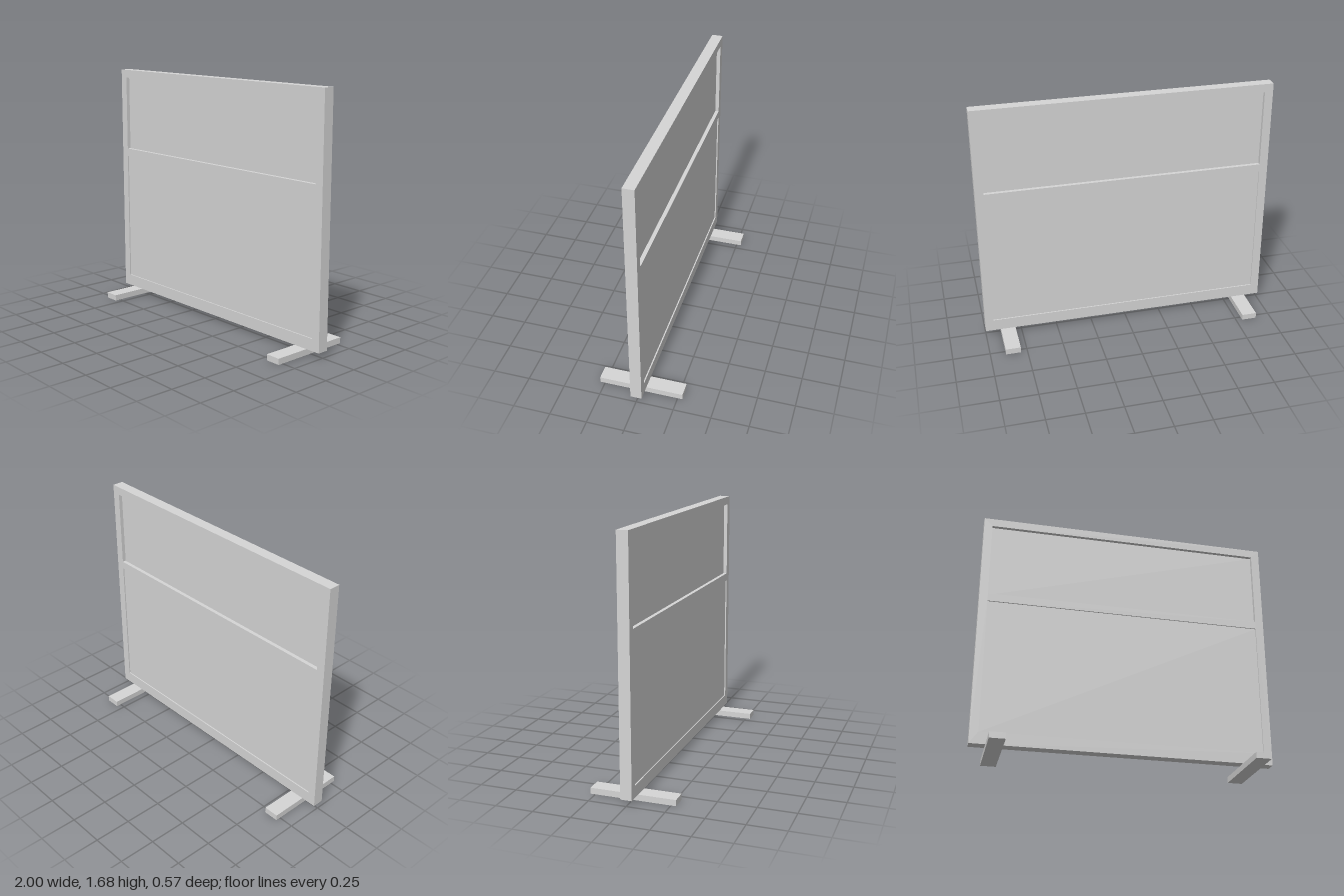
import * as THREE from 'three';

export function createModel() {
  const model = new THREE.Group();
  const lightGrey = new THREE.MeshStandardMaterial({ color: 0xd5d5d5 });
  lightGrey.name = 'lightGrey';

  const add = (name, geometry, x, y, z) => {
    const mesh = new THREE.Mesh(geometry, lightGrey);
    mesh.name = name;
    mesh.position.set(x, y, z);
    model.add(mesh);
  };

  const rectangle = (path, x, y0, y1) =>
    path.moveTo(-x, y0).lineTo(x, y0).lineTo(x, y1).lineTo(-x, y1).closePath();

  // Openings in the frame and the thickness of the panel filling each
  const openingX = 0.943;
  const panels = [
    { name: 'upperPanel', y0: 1.095, y1: 1.62, thickness: 0.024 },
    { name: 'lowerPanel', y0: 0.12, y1: 1.04, thickness: 0.058 },
  ];

  // Outer frame with middle rail
  const depth = 0.075;
  const outline = rectangle(new THREE.Shape(), 1, 0.04, 1.676);
  for (const p of panels) outline.holes.push(rectangle(new THREE.Path(), openingX, p.y0, p.y1));
  add('frame', new THREE.ExtrudeGeometry(outline, { depth, bevelEnabled: false }), 0, 0, -depth / 2);

  // Recessed panels, set back equally on both faces
  for (const p of panels) {
    add(p.name, new THREE.BoxGeometry(2 * openingX, p.y1 - p.y0, p.thickness), 0, (p.y0 + p.y1) / 2, 0);
  }

  // Flat cross feet
  for (const [name, side] of [['leftFoot', 1], ['rightFoot', -1]]) {
    add(name, new THREE.BoxGeometry(0.102, 0.04, 0.566), side * 0.845, 0.02, 0);
  }

  return model;
}
